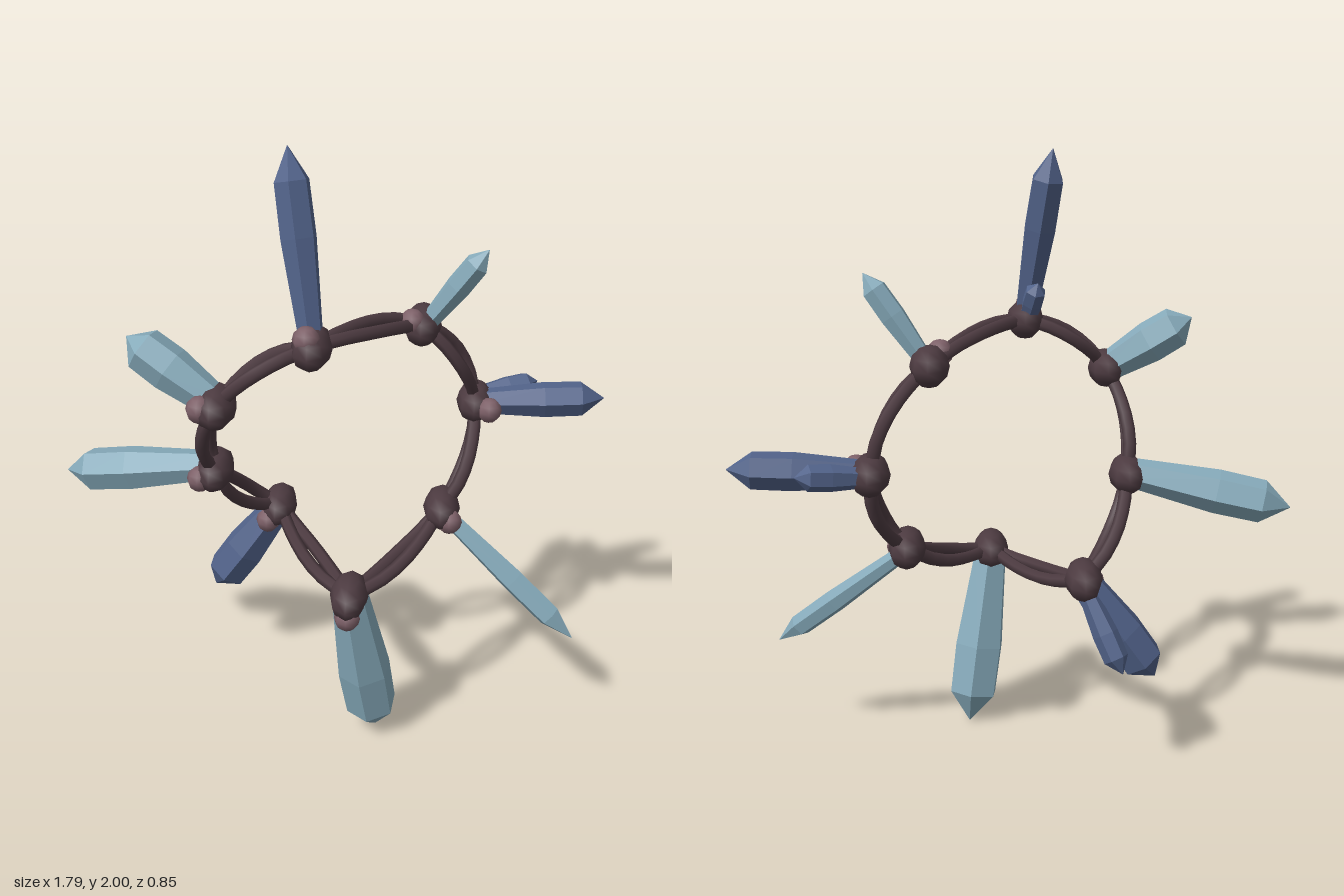
import * as THREE from 'three';

const wood = new THREE.MeshStandardMaterial({ name: 'dark wood', color: 0x4d3b41 });
const budPink = new THREE.MeshStandardMaterial({ name: 'bud pink', color: 0x7d6068 });
const paleBlue = new THREE.MeshStandardMaterial({ name: 'pale blue crystal', color: 0x86aaba });
const deepBlue = new THREE.MeshStandardMaterial({ name: 'deep blue crystal', color: 0x52638a });

const V = (a) => new THREE.Vector3(...a);

// Knots around the ring: knot centre, bud centre, and crystals as [base, tip, radius]
const KNOTS = [
  { at: [-0.02, 1.44, 0.245], bud: [-0.03, 1.48, 0.29], mat: deepBlue, crystals: [
    [[-0.02, 1.44, 0.24], [-0.105, 2.0, 0.12], 0.056],
    [[-0.02, 1.42, 0.22], [-0.06, 1.575, 0.135], 0.036]] },
  { at: [0.28, 1.37, -0.17], bud: [0.25, 1.4, -0.11], mat: paleBlue, crystals: [
    [[0.28, 1.36, -0.15], [0.48, 1.645, -0.11], 0.042]] },
  { at: [0.46, 1.06, -0.285], bud: [0.51, 1.06, -0.21], mat: deepBlue, crystals: [
    [[0.45, 1.06, -0.275], [0.89, 1.085, -0.305], 0.06],
    [[0.45, 1.06, -0.32], [0.67, 1.09, -0.41], 0.042]] },
  { at: [0.37, 0.75, -0.085], bud: [0.4, 0.73, -0.025], mat: paleBlue, crystals: [
    [[0.37, 0.74, -0.08], [0.83, 0.36, 0.06], 0.04]] },
  { at: [0.1, 0.61, 0.28], bud: [0.1, 0.56, 0.335], mat: paleBlue, crystals: [
    [[0.1, 0.61, 0.27], [0.18, 0.0, 0.145], 0.09]] },
  { at: [-0.2, 0.67, -0.175], bud: [-0.23, 0.64, -0.11], mat: deepBlue, crystals: [
    [[-0.19, 0.68, -0.175], [-0.44, 0.325, -0.17], 0.076],
    [[-0.2, 0.66, -0.2], [-0.32, 0.4, -0.31], 0.042]] },
  { at: [-0.36, 0.94, 0.1], bud: [-0.4, 0.93, 0.155], mat: paleBlue, crystals: [
    [[-0.36, 0.95, 0.09], [-0.895, 0.85, 0.0], 0.074]] },
  { at: [-0.3, 1.26, 0.305], bud: [-0.34, 1.27, 0.355], mat: paleBlue, crystals: [
    [[-0.28, 1.25, 0.295], [-0.58, 1.445, 0.24], 0.072]] },
];

function addMesh(parent, name, geometry, material) {
  const mesh = new THREE.Mesh(geometry, material);
  mesh.name = name;
  parent.add(mesh);
  return mesh;
}

// Six-sided faceted crystal, widening to a shoulder and ending in a point
function crystalGeometry(base, tip, r) {
  const axis = V(tip).sub(V(base));
  const L = axis.length();
  const profile = [[0, 0], [0.66 * r, 0], [r, 0.55 * L], [0.97 * r, 0.83 * L], [0.001, L]]
    .map(([x, y]) => new THREE.Vector2(x, y));
  const g = new THREE.LatheGeometry(profile, 6).toNonIndexed();
  g.computeVertexNormals();
  const q = new THREE.Quaternion().setFromUnitVectors(new THREE.Vector3(0, 1, 0), axis.normalize());
  return g.applyQuaternion(q).translate(...base);
}

// Strand following the ring's arc between two knots, bowed forward or back
function strandGeometry(a, b, bow) {
  const cx = 0.05, cy = 1.02;
  const angle = (p) => Math.atan2(p[1] - cy, p[0] - cx);
  const radius = (p) => Math.hypot(p[0] - cx, p[1] - cy);
  let sweep = angle(b) - angle(a);
  if (sweep > 0) sweep -= 2 * Math.PI;
  const pts = [];
  for (let i = 0; i <= 4; i++) {
    const t = i / 4;
    const th = angle(a) + sweep * t;
    const r = THREE.MathUtils.lerp(radius(a), radius(b), t);
    const z = THREE.MathUtils.lerp(a[2], b[2], t) + bow * Math.sin(Math.PI * t);
    pts.push(new THREE.Vector3(cx + r * Math.cos(th), cy + r * Math.sin(th), z));
  }
  return new THREE.TubeGeometry(new THREE.CatmullRomCurve3(pts), 8, 0.022, 6);
}

export function createModel() {
  const model = new THREE.Group();
  model.name = 'crystalWreath';
  KNOTS.forEach((k, i) => {
    const cluster = new THREE.Group();
    cluster.name = 'knotCluster' + (i + 1);
    model.add(cluster);

    // Knot, stretched front to back
    const knot = addMesh(cluster, 'knot', new THREE.SphereGeometry(1, 8, 6), wood);
    knot.scale.set(0.062, 0.064, 0.113);
    knot.position.set(...k.at);

    // Bud
    const bud = addMesh(cluster, 'bud', new THREE.SphereGeometry(0.042, 8, 6), budPink);
    bud.position.set(...k.bud);

    // Crystals
    for (const c of k.crystals) addMesh(cluster, 'crystal', crystalGeometry(...c), k.mat);

    // Pair of strands to the next knot
    const next = KNOTS[(i + 1) % KNOTS.length].at;
    for (const bow of [-0.055, 0.055]) addMesh(model, 'strand', strandGeometry(k.at, next, bow), wood);
  });
  return model;
}
